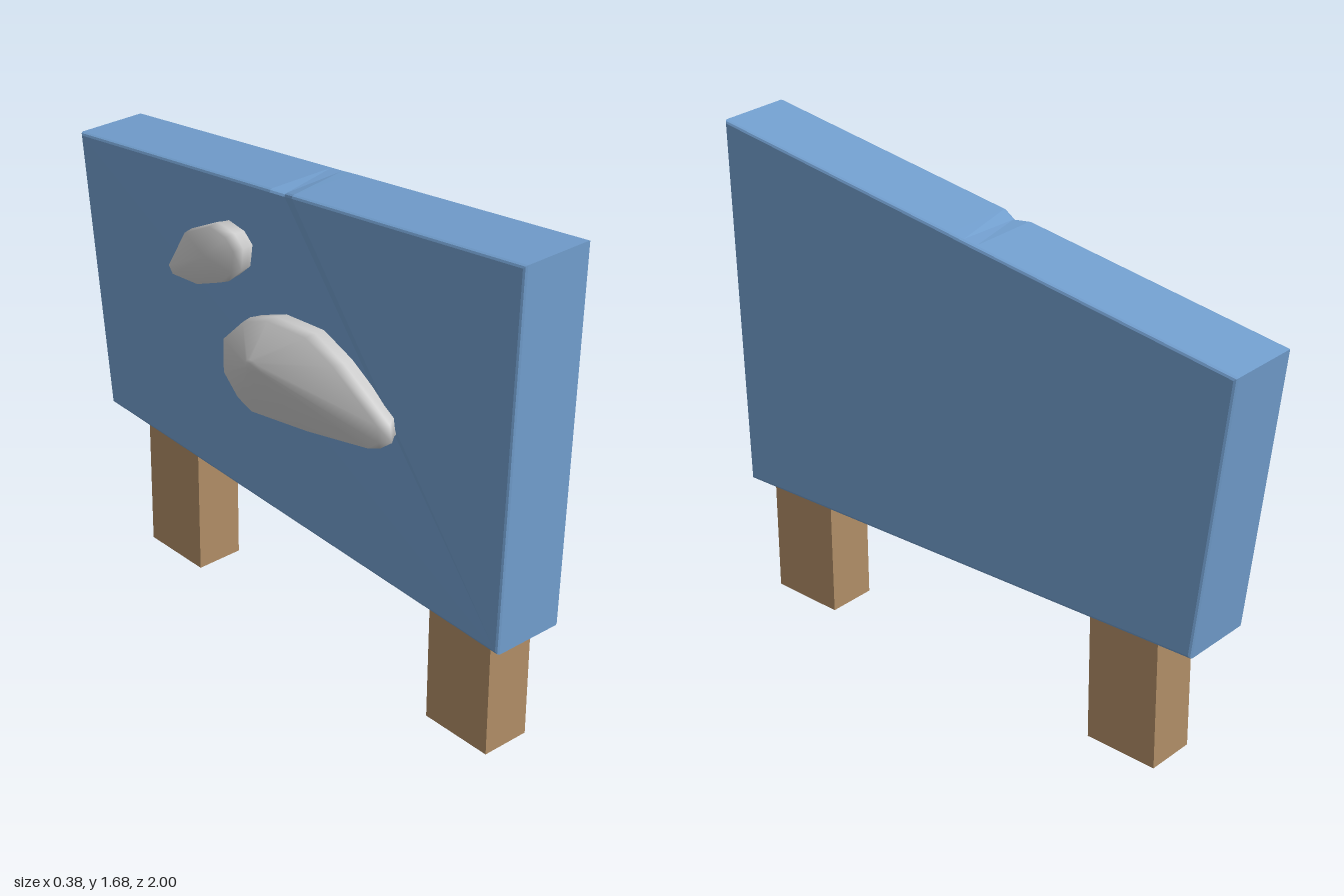
import * as THREE from 'three';

const paint = (color, side = THREE.FrontSide) => new THREE.MeshStandardMaterial({ color, side });

function add(group, name, geometry, material) {
  const mesh = new THREE.Mesh(geometry, material);
  mesh.name = name;
  group.add(mesh);
  return mesh;
}

// Lopsided board, outlined in [z, y] and extruded along x with a fine bevel.
function boardGeometry() {
  const outline = [[1, 1.68], [0.05, 1.564], [0, 1.557], [-0.05, 1.551],
    [-1, 1.435], [-0.885, 0.485], [0.965, 0.412]];
  const shape = new THREE.Shape(outline.map(([z, y]) => new THREE.Vector2(-z, y)));
  const bevel = 0.01;
  const geo = new THREE.ExtrudeGeometry(shape, {
    depth: 0.255 - 2 * bevel, bevelThickness: bevel, bevelSize: bevel,
    bevelOffset: -bevel, bevelSegments: 2,
  });
  geo.rotateY(Math.PI / 2).translate(-0.068 + bevel, 0, 0);
  // small chip in the upper edge
  const p = geo.attributes.position;
  for (let i = 0; i < p.count; i++) {
    if (p.getX(i) < -0.05 && p.getY(i) > 1.5 && Math.abs(p.getZ(i)) < 0.02) {
      p.setXYZ(i, p.getX(i) + 0.015, p.getY(i) - 0.008, p.getZ(i));
    }
  }
  geo.computeVertexNormals();
  return geo;
}

// Smooth pebble on the -x face: the [z, y] outline is scaled about a centre at each [x, scale].
function pebbleGeometry(outline, [cz, cy], rings) {
  const pos = [], index = [], n = outline.length;
  for (const [x, s] of rings) {
    for (const [z, y] of outline) pos.push(x, cy + (y - cy) * s, cz + (z - cz) * s);
  }
  const last = rings.length - 1;
  pos.push(rings[last][0], cy, cz);
  for (let i = 0; i < n; i++) {
    const j = (i + 1) % n;
    for (let k = 0; k < last; k++) {
      const a = k * n + i, b = k * n + j;
      index.push(a, b, b + n, a, b + n, a + n);
    }
    index.push(rings.length * n, last * n + i, last * n + j);
  }
  const geo = new THREE.BufferGeometry();
  geo.setAttribute('position', new THREE.Float32BufferAttribute(pos, 3));
  geo.setIndex(index);
  geo.computeVertexNormals();
  return geo;
}

// Square tube without top and bottom.
function legGeometry() {
  const geo = new THREE.BoxGeometry(0.168, 0.47, 0.26);
  const ids = Array.from(geo.index.array);
  geo.setIndex([...ids.slice(0, 12), ...ids.slice(24)]);
  geo.clearGroups();
  return geo;
}

export function createModel() {
  const model = new THREE.Group();
  model.name = 'signBoard';

  add(model, 'board', boardGeometry(), paint(0x729fcf));

  // legs
  const wood = paint(0xb08d66, THREE.DoubleSide);
  for (const [name, z] of [['frontLeg', 0.77], ['backLeg', -0.6]]) {
    add(model, name, legGeometry(), wood).position.set(0.055, 0.235, z);
  }

  // raised fish-like relief
  const grey = paint(0xcccccc);
  const body = [[-0.2, 1.02], [-0.2, 0.9], [-0.13, 0.835], [-0.06, 0.812], [0.21, 0.855],
    [0.49, 0.915], [0.54, 0.955], [0.53, 1.01], [0.33, 1.13], [0.2, 1.18], [0.02, 1.168], [-0.1, 1.12]];
  add(model, 'reliefBody', pebbleGeometry(body, [0, 1.03],
    [[-0.06, 0.95], [-0.075, 0.96], [-0.105, 1], [-0.138, 0.96], [-0.192, 0.1]]), grey);

  const tail = [[-0.47, 1.17], [-0.45, 1.145], [-0.32, 1.155], [-0.2, 1.205], [-0.14, 1.26],
    [-0.13, 1.34], [-0.17, 1.375], [-0.25, 1.387], [-0.38, 1.32]];
  add(model, 'reliefTail', pebbleGeometry(tail, [-0.28, 1.27],
    [[-0.06, 0.93], [-0.075, 0.94], [-0.105, 1], [-0.137, 0.94]]), grey);

  return model;
}
